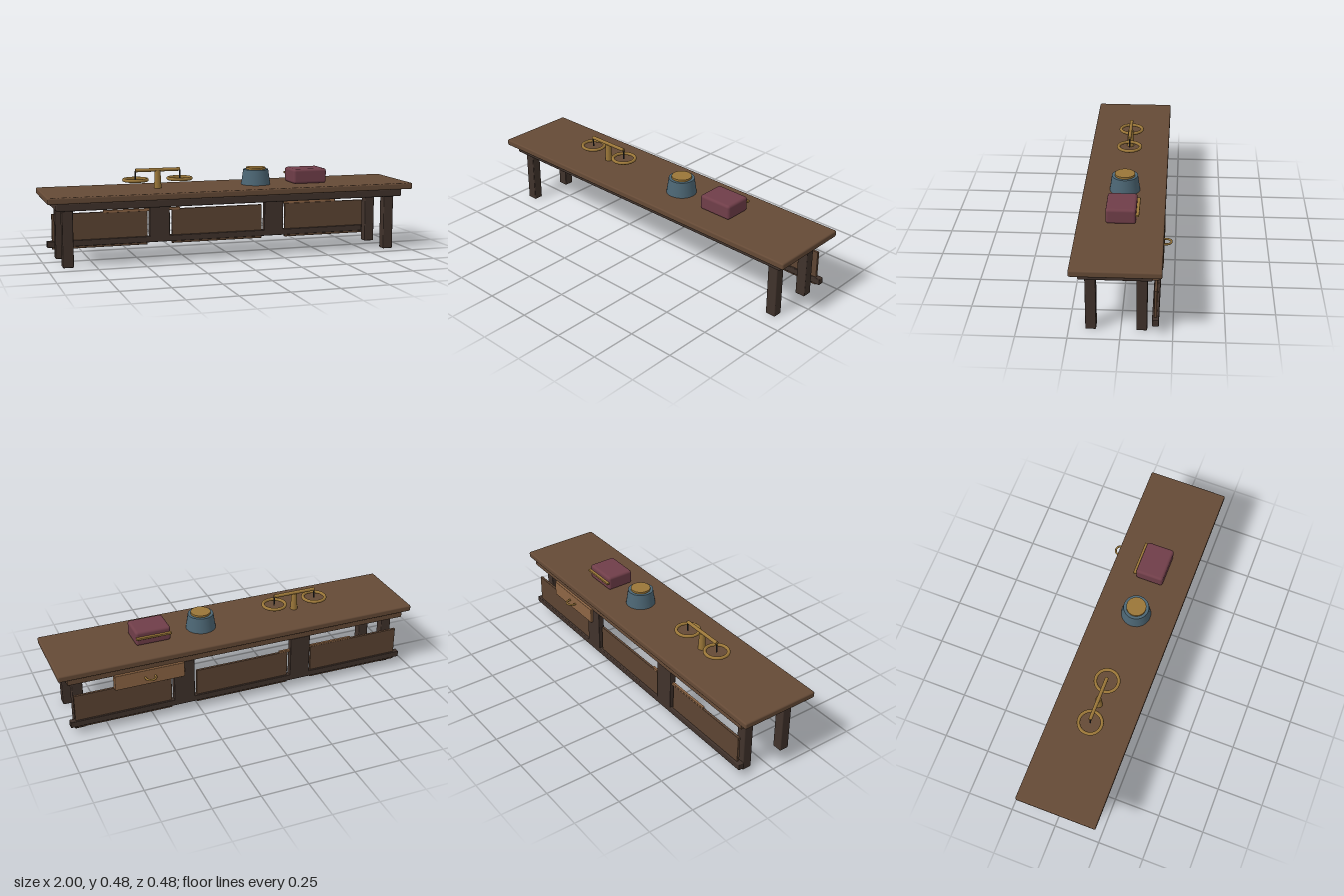
import * as THREE from 'three';
import { RoundedBoxGeometry } from 'three/addons/geometries/RoundedBoxGeometry.js';

const paint = (color) => new THREE.MeshStandardMaterial({ color });
const wood = paint(0x654a36), dark = paint(0x40322b), panelWood = paint(0x5d4432);
const paleWood = paint(0x8d6544), brass = paint(0x9a7638);
const blue = paint(0x4c6674), maroon = paint(0x703e49), iron = paint(0x2b2b2d);

export function createModel() {
  const model = new THREE.Group();

  const add = (name, geometry, material, x = 0, y = 0, z = 0, parent = model) => {
    const mesh = new THREE.Mesh(geometry, material);
    mesh.name = name;
    mesh.position.set(x, y, z);
    parent.add(mesh);
    return mesh;
  };
  // Rounded box given by its extents along each axis
  const block = (name, material, [x0, x1], [y0, y1], [z0, z1], r = 0.004) =>
    add(name, new RoundedBoxGeometry(x1 - x0, y1 - y0, z1 - z0, 2, r), material,
      (x0 + x1) / 2, (y0 + y1) / 2, (z0 + z1) / 2);

  // Counter top, apron and legs
  block('tableTop', wood, [-1, 1], [0.338, 0.372], [-0.197, 0.239], 0.008);
  block('apron', dark, [-0.953, 0.953], [0.295, 0.338], [-0.152, 0.2], 0.008);
  for (const x of [-0.891, 0.891]) {
    for (const z of [-0.101, 0.144]) {
      block('leg', dark, [x - 0.028, x + 0.028], [0, 0.296], [z - 0.026, z + 0.026], 0.005);
    }
  }

  // Back frame: rails, posts and three panels
  const frameZ = [-0.183, -0.15];
  block('topRail', wood, [-0.953, 0.953], [0.303, 0.338], frameZ);
  block('bottomRail', dark, [-0.953, 0.953], [0.048, 0.082], frameZ);
  for (const x of [-0.333, 0.333]) {
    block('backPost', dark, [x - 0.057, x + 0.057], [0.05, 0.305], frameZ);
  }
  for (const x of [-0.663, 0, 0.663]) {
    block('backPanel', panelWood, [x - 0.262, x + 0.262], [0.036, 0.228], [-0.173, -0.159], 0.002);
  }
  block('innerStrip', paleWood, [-0.645, -0.215], [0.222, 0.236], [-0.172, -0.158], 0.002);

  // Drawer with half-ring pull
  block('drawer', paleWood, [0.335, 0.712], [0.225, 0.309], [-0.197, -0.163], 0.003);
  const pull = add('drawerPull', new THREE.TorusGeometry(0.027, 0.0055, 10, 28, Math.PI), brass,
    0.523, 0.267, -0.205);
  pull.rotation.x = -Math.PI / 2;
  for (const s of [-1, 1]) {
    const stub = add('pullStub', new THREE.CylinderGeometry(0.0055, 0.0055, 0.012, 10), brass,
      0.523 + s * 0.027, 0.267, -0.2);
    stub.rotation.x = Math.PI / 2;
  }

  // Balance scale
  const scale = new THREE.Group();
  scale.name = 'balanceScale';
  scale.position.set(-0.385, 0, 0.02);
  model.add(scale);
  add('scalePost', new THREE.CylinderGeometry(0.015, 0.02, 0.096, 20), brass, 0, 0.418, 0, scale);
  const beam = add('scaleBeam', new THREE.CylinderGeometry(0.0095, 0.0095, 0.24, 16), brass, 0, 0.469, 0, scale);
  beam.rotation.z = Math.PI / 2;
  for (const x of [-0.12, 0.12]) {
    add('panHanger', new THREE.CylinderGeometry(0.004, 0.004, 0.05, 8), iron, x, 0.441, 0, scale);
    const ring = add('panRing', new THREE.TorusGeometry(0.061, 0.009, 10, 36), brass, x, 0.42, 0, scale);
    ring.rotation.x = Math.PI / 2;
  }

  // Jar with brass lid
  add('jar', new THREE.CylinderGeometry(0.068, 0.08, 0.082, 28), blue, 0.163, 0.413, 0.021);
  add('jarLid', new THREE.CylinderGeometry(0.053, 0.053, 0.012, 28), brass, 0.163, 0.459, 0.021);

  // Ledger with brass clasp strip
  block('ledger', maroon, [0.357, 0.548], [0.372, 0.452], [-0.055, 0.097], 0.014);
  block('ledgerClasp', brass, [0.357, 0.548], [0.414, 0.425], [-0.07, -0.052], 0.002);

  return model;
}
